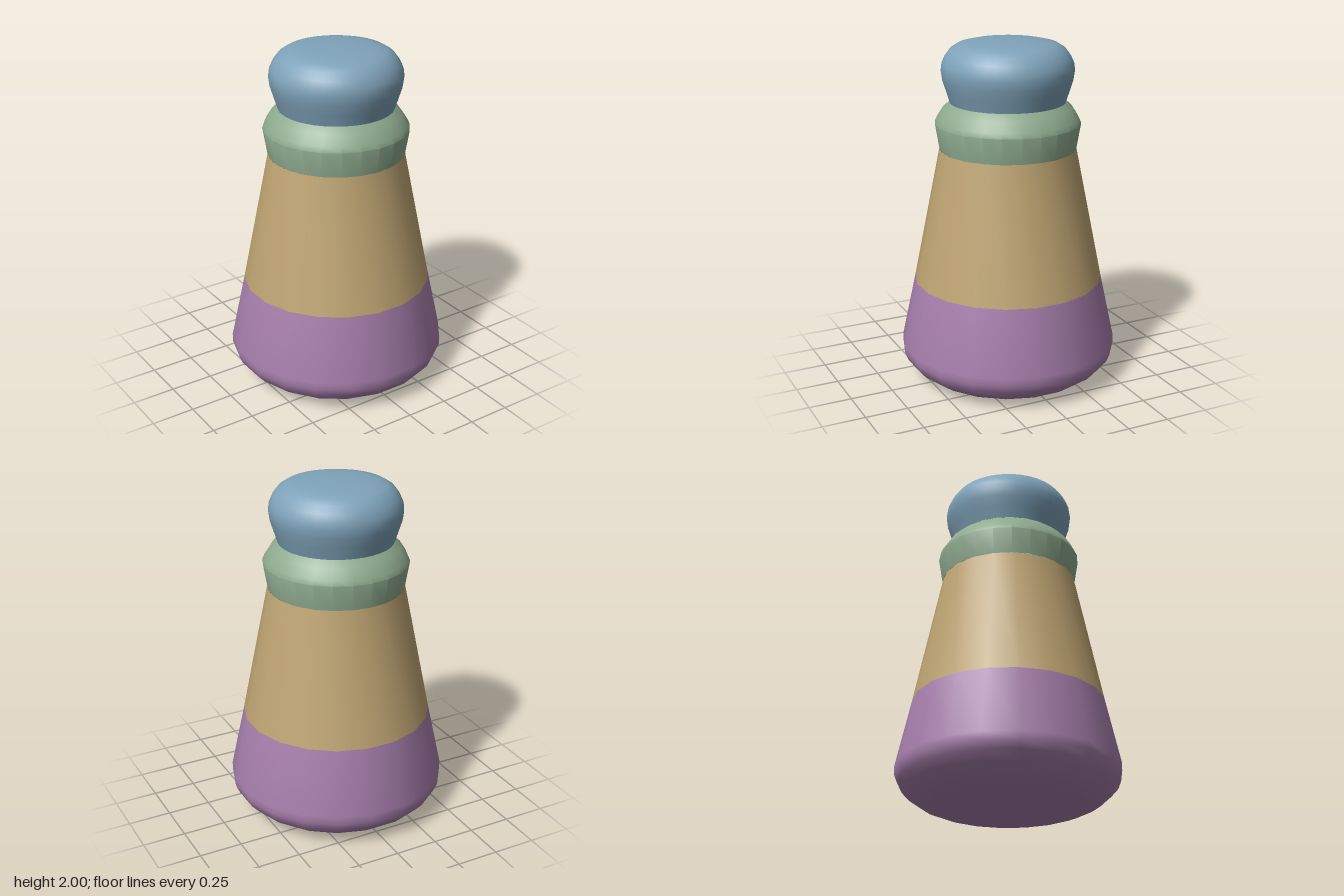
import * as THREE from 'three';
import { toCreasedNormals } from 'three/addons/utils/BufferGeometryUtils.js';

// Revolved part from [radius, height] pairs, bottom to top
function turned(name, color, profile, sides, turn = 0) {
  const points = profile.map(([r, y]) => new THREE.Vector2(r, y));
  const lathe = new THREE.LatheGeometry(points, sides, turn, Math.PI * 2);
  const mesh = new THREE.Mesh(
    toCreasedNormals(lathe, 0.6),
    new THREE.MeshStandardMaterial({ color, side: THREE.DoubleSide })
  );
  mesh.name = name;
  return mesh;
}

export function createModel() {
  const model = new THREE.Group();
  model.name = 'shaker';
  const sides = 20;
  const half = Math.PI / sides; // flat sides face the axes

  // Rounded foot, widest just above the ground
  model.add(turned('base', 0xa880ae, [
    [0, 0], [0.40, 0.005], [0.46, 0.015], [0.52, 0.04], [0.575, 0.08],
    [0.615, 0.125], [0.633, 0.17], [0.633, 0.215], [0.55, 0.6],
  ], sides, half));

  // Tapered body
  model.add(turned('body', 0xbfa573, [[0.55, 0.6], [0.393, 1.38]], sides, half));

  // Flared collar with a sloping shoulder
  model.add(turned('collar', 0x8fab8f, [
    [0.393, 1.38], [0.418, 1.53], [0.405, 1.56], [0.37, 1.615], [0.33, 1.65],
  ], 24));

  // Bulging cap with a nearly flat top
  model.add(turned('cap', 0x7fa3ba, [
    [0.33, 1.65], [0.352, 1.72], [0.371, 1.78], [0.378, 1.83], [0.373, 1.87],
    [0.355, 1.91], [0.325, 1.95], [0.285, 1.975], [0.22, 1.99], [0.1, 1.997], [0, 2],
  ], 40));

  return model;
}
